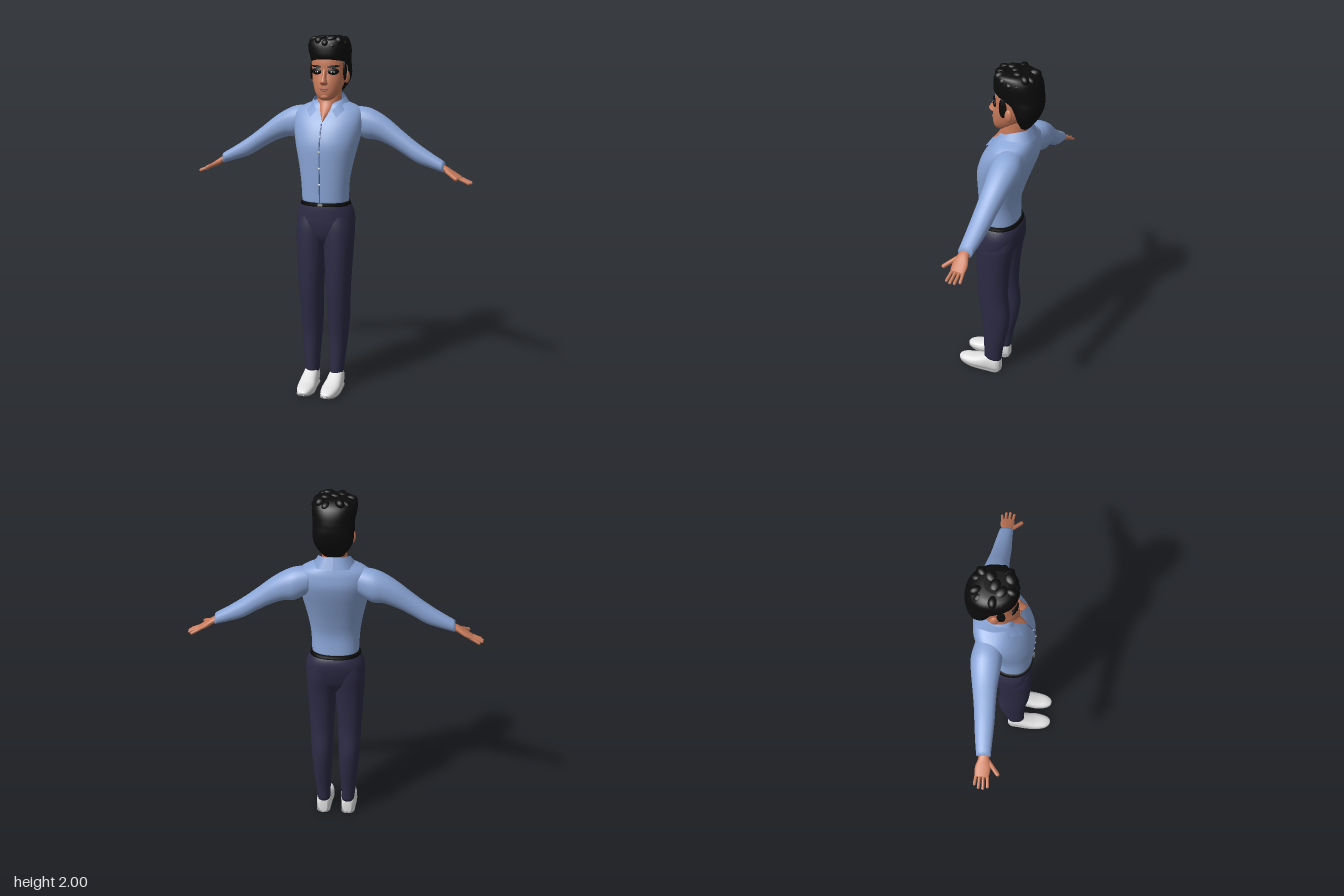
import * as THREE from 'three';

const mat = (name, color, side = THREE.FrontSide) => {
  const m = new THREE.MeshStandardMaterial({ color, side });
  m.name = name;
  return m;
};

// Smooth interpolation between rows of numbers
function resample(keys, steps) {
  const rows = [];
  const at = i => keys[Math.min(Math.max(i, 0), keys.length - 1)];
  for (let i = 0; i < keys.length - 1; i++) {
    for (let s = 0; s < steps; s++) {
      const t = s / steps;
      rows.push(at(i).map((b, k) => {
        const a = at(i - 1)[k], c = at(i + 1)[k], d = at(i + 2)[k];
        return b + 0.5 * t * (c - a + t * (2 * a - 5 * b + 4 * c - d + t * (3 * (b - c) + d - a)));
      }));
    }
  }
  rows.push(at(keys.length));
  return rows;
}

// Loft of rounded sections along an axis; each key is
// [position, min, max, min, max] with the remaining axes in x, y, z order
function loft(axis, keys, n = 2.2, seg = 28, steps = 4) {
  const rows = resample(keys, steps), pos = [], idx = [];
  const put = (t, a, b) => pos.push(...(axis === 'x' ? [t, a, b] : axis === 'y' ? [a, t, b] : [a, b, t]));
  const pw = v => Math.sign(v) * Math.abs(v) ** (2 / n);
  const dir = axis === 'y' ? -1 : 1;
  for (const [t, a0, a1, b0, b1] of rows) {
    for (let j = 0; j < seg; j++) {
      const q = dir * j / seg * Math.PI * 2;
      put(t, (a0 + a1) / 2 + (a1 - a0) / 2 * pw(Math.cos(q)), (b0 + b1) / 2 + (b1 - b0) / 2 * pw(Math.sin(q)));
    }
  }
  const last = rows.length - 1, c0 = rows.length * seg;
  for (const r of [rows[0], rows[last]]) put(r[0], (r[1] + r[2]) / 2, (r[3] + r[4]) / 2);
  for (let j = 0; j < seg; j++) {
    const k = (j + 1) % seg;
    for (let i = 0; i < last; i++) {
      const a = i * seg + j, b = i * seg + k;
      idx.push(a, b, a + seg, b, b + seg, a + seg);
    }
    idx.push(c0, k, j, c0 + 1, last * seg + j, last * seg + k);
  }
  return build(pos, idx);
}

function build(pos, idx) {
  const g = new THREE.BufferGeometry();
  g.setAttribute('position', new THREE.Float32BufferAttribute(pos, 3));
  g.setIndex(idx);
  g.computeVertexNormals();
  return g;
}

// Mirror image across x with the winding kept outward
function mirrored(geo) {
  const g = geo.clone(), p = g.attributes.position, ix = [...g.index.array];
  for (let i = 0; i < p.count; i++) p.setX(i, -p.getX(i));
  for (let i = 0; i < ix.length; i += 3) [ix[i], ix[i + 1]] = [ix[i + 1], ix[i]];
  g.setIndex(ix);
  g.computeVertexNormals();
  return g;
}

const ball = (x, y, z, rx, ry, rz, ay = 0, az = 0) =>
  new THREE.SphereGeometry(1, 20, 14).scale(rx, ry, rz).rotateZ(az).rotateY(ay).translate(x, y, z);

// Rounded stick between two points
function stick(a, b, r) {
  const A = new THREE.Vector3(...a), B = new THREE.Vector3(...b), d = B.clone().sub(A);
  const g = new THREE.CapsuleGeometry(r, d.length(), 4, 10);
  g.applyQuaternion(new THREE.Quaternion().setFromUnitVectors(new THREE.Vector3(0, 1, 0), d.normalize()));
  return g.translate(...A.add(B).multiplyScalar(0.5).toArray());
}

export function createModel() {
  const model = new THREE.Group();
  const skin = mat('skin', 0xc87a5a), lip = mat('lips', 0xa55c48), hair = mat('black', 0x0b0b0c);
  const shirt = mat('shirt blue', 0x8aa5d6), seam = mat('seam blue', 0x566a96);
  const collarMat = mat('collar blue', 0x839ecf, THREE.DoubleSide);
  const navy = mat('trouser navy', 0x2d2b45), white = mat('shoe white', 0xe2e2e2), grey = mat('sole grey', 0x8f8f8f);
  const add = (name, geo, m) => {
    const mesh = new THREE.Mesh(geo, m);
    mesh.name = name;
    model.add(mesh);
  };
  const pair = (name, geo, m) => {
    add(name + 'Left', geo, m);
    add(name + 'Right', mirrored(geo), m);
  };

  // Shirt
  const torso = [
    [1.085, -.13, .13, -.115, .1], [1.2, -.135, .135, -.11, .105], [1.3, -.15, .15, -.135, .108],
    [1.4, -.172, .172, -.17, .108], [1.47, -.187, .187, -.195, .09], [1.53, -.195, .195, -.21, .062],
    [1.58, -.19, .19, -.207, .025], [1.61, -.165, .165, -.2, 0], [1.635, -.11, .11, -.19, -.015],
    [1.65, -.07, .07, -.17, -.04]];
  add('shirtBody', loft('y', torso, 2.3, 40), shirt);
  add('placket', loft('y', torso.slice(0, 6).map(k => [k[0], -.008, 0, k[4] - .02, k[4] + .003]), 4, 12), seam);
  for (const [y, z] of [[1.2, .107], [1.29, .11], [1.38, .111], [1.46, .095]])
    add('button', ball(-.004, y, z, .006, .006, .004), white);
  pair('sleeve', loft('x', [
    [.12, 1.48, 1.615, -.185, -.045], [.2, 1.435, 1.61, -.203, -.045], [.26, 1.43, 1.588, -.198, -.05],
    [.33, 1.405, 1.545, -.186, -.058], [.41, 1.362, 1.482, -.172, -.06], [.49, 1.315, 1.422, -.162, -.06],
    [.57, 1.288, 1.37, -.152, -.063], [.645, 1.266, 1.326, -.14, -.066]]), shirt);

  // Collar, folded over around the neck
  const top = [[0, 1.687, -.178], [.05, 1.685, -.165], [.083, 1.672, -.1], [.075, 1.64, -.03], [.045, 1.6, .024]];
  const low = [[0, 1.625, -.205], [.08, 1.627, -.185], [.115, 1.622, -.1], [.105, 1.6, -.005], [.075, 1.562, .05]];
  const a = resample(top, 4), b = resample(low, 4), cIdx = [];
  for (let i = 0; i < a.length - 1; i++)
    cIdx.push(2 * i, 2 * i + 1, 2 * i + 2, 2 * i + 1, 2 * i + 3, 2 * i + 2);
  pair('collar', build(a.flatMap((p, i) => [...p, ...b[i]]), cIdx), collarMat);

  // Neck and the open throat
  add('neck', loft('y', [
    [1.54, -.006, .006, -.1, .063], [1.57, -.03, .03, -.12, .047], [1.6, -.052, .052, -.15, .022],
    [1.64, -.066, .066, -.155, -.005], [1.69, -.066, .066, -.16, -.015], [1.73, -.066, .066, -.16, -.02]], 2), skin);

  // Head and face
  add('head', loft('y', [
    [1.652, -.024, .024, -.035, .012], [1.666, -.045, .045, -.07, .025], [1.7, -.069, .069, -.12, .031],
    [1.75, -.086, .086, -.17, .028], [1.8, -.095, .095, -.2, .018], [1.86, -.099, .099, -.215, .017],
    [1.92, -.095, .095, -.21, 0], [1.97, -.06, .06, -.16, -.05]], 2.2, 36), skin);
  add('nose', loft('y', [
    [1.734, -.014, .014, .01, .034], [1.745, -.021, .021, .01, .055], [1.757, -.017, .017, .005, .06],
    [1.785, -.011, .011, 0, .043], [1.82, -.011, .011, -.01, .024]], 2, 16), skin);
  add('upperLip', ball(0, 1.716, .031, .027, .005, .007), lip);
  add('lowerLip', ball(0, 1.707, .031, .022, .005, .006), lip);
  add('chin', ball(0, 1.673, .017, .024, .016, .014), skin);
  pair('ear', ball(.097, 1.775, -.09, .014, .034, .022, -.2), skin);
  pair('eyeSocket', ball(.047, 1.808, .007, .031, .018, .009, .42), hair);
  pair('eyeWhite', ball(.046, 1.806, .013, .015, .007, .005, .42), white);
  pair('pupil', ball(.046, 1.806, .0165, .006, .006, .003, .42), hair);
  pair('eyebrow', ball(.049, 1.835, .008, .034, .006, .008, .42, .08), hair);

  // Hair
  add('hair', loft('y', [
    [1.69, -.05, .05, -.178, -.125], [1.735, -.085, .085, -.21, -.11], [1.78, -.103, .103, -.23, -.095],
    [1.825, -.106, .106, -.238, -.06], [1.855, -.107, .107, -.238, -.005], [1.88, -.109, .109, -.236, .02],
    [1.92, -.118, .113, -.228, .023], [1.955, -.118, .11, -.21, .018], [1.98, -.095, .098, -.175, .003],
    [1.99, -.05, .06, -.14, -.03]], 2.3, 36), hair);
  pair('sideburn', ball(.094, 1.812, -.058, .009, .055, .022), hair);
  for (let i = 0; i < 16; i++) {
    const q = i / 16 * Math.PI * 2, w = i % 3;
    add('hairTuft', ball(.085 * Math.cos(q), 1.95 + .009 * w, -.095 + .088 * Math.sin(q),
      .034, .018 + .004 * w, .024, -q, -.35 + .2 * w), hair);
  }
  for (const [x, z] of [[.03, -.02], [-.04, -.06], [.035, -.11], [-.01, -.09]])
    add('crownTuft', ball(x, 1.982, z, .035, .018, .028, x * 20, .2), hair);

  // Hands
  pair('palm', loft('x', [
    [.625, 1.282, 1.314, -.125, -.078], [.66, 1.262, 1.3, -.13, -.07], [.695, 1.243, 1.277, -.142, -.062],
    [.73, 1.23, 1.255, -.142, -.066], [.742, 1.228, 1.248, -.136, -.072]], 2.2, 18), skin);
  [[-.133, .775], [-.115, .792], [-.096, .795], [-.077, .785]].forEach(([z, x], i) =>
    pair('finger' + i, stick([.725, 1.242, z], [x, 1.216, z + (i - 1.5) * .004], .008), skin));
  pair('thumb', stick([.665, 1.274, -.075], [.722, 1.245, -.025], .011), skin);

  // Trousers and belt
  add('hips', loft('y', [
    [.85, -.09, .09, -.06, .06], [.9, -.15, .15, -.1, .09], [.96, -.165, .165, -.122, .102],
    [1.02, -.163, .163, -.135, .104], [1.06, -.15, .15, -.132, .104], [1.088, -.134, .134, -.12, .102]], 2.3, 40), navy);
  pair('trouserLeg', loft('y', [
    [.09, .035, .11, -.04, .068], [.2, .03, .122, -.055, .066], [.32, .022, .132, -.08, .066],
    [.45, .017, .142, -.095, .08], [.58, .012, .147, -.082, .094], [.72, .004, .155, -.086, .1],
    [.85, -.004, .162, -.1, .102], [.95, -.012, .165, -.118, .1], [1.02, 0, .15, -.12, .09]]), navy);
  add('belt', loft('y', [[1.078, -.142, .142, -.127, .106], [1.098, -.135, .135, -.12, .105]], 2.3, 40, 2), hair);
  add('buckle', new THREE.BoxGeometry(.028, .016, .008).translate(0, 1.088, .106), grey);

  // Shoes
  const shoe = [
    [-.037, .05, .095, .004, .09], [-.015, .036, .112, 0, .115], [.035, .032, .117, 0, .12],
    [.085, .028, .121, 0, .092], [.145, .021, .121, 0, .066], [.2, .029, .11, .004, .053],
    [.228, .042, .094, .01, .042], [.238, .055, .08, .016, .034]];
  pair('shoe', loft('z', shoe, 2.4), white);
  pair('sole', loft('z', shoe.map(k => [k[0], k[1] - .001, k[2] + .001, k[3], k[3] + .014]), 4), grey);
  return model;
}
